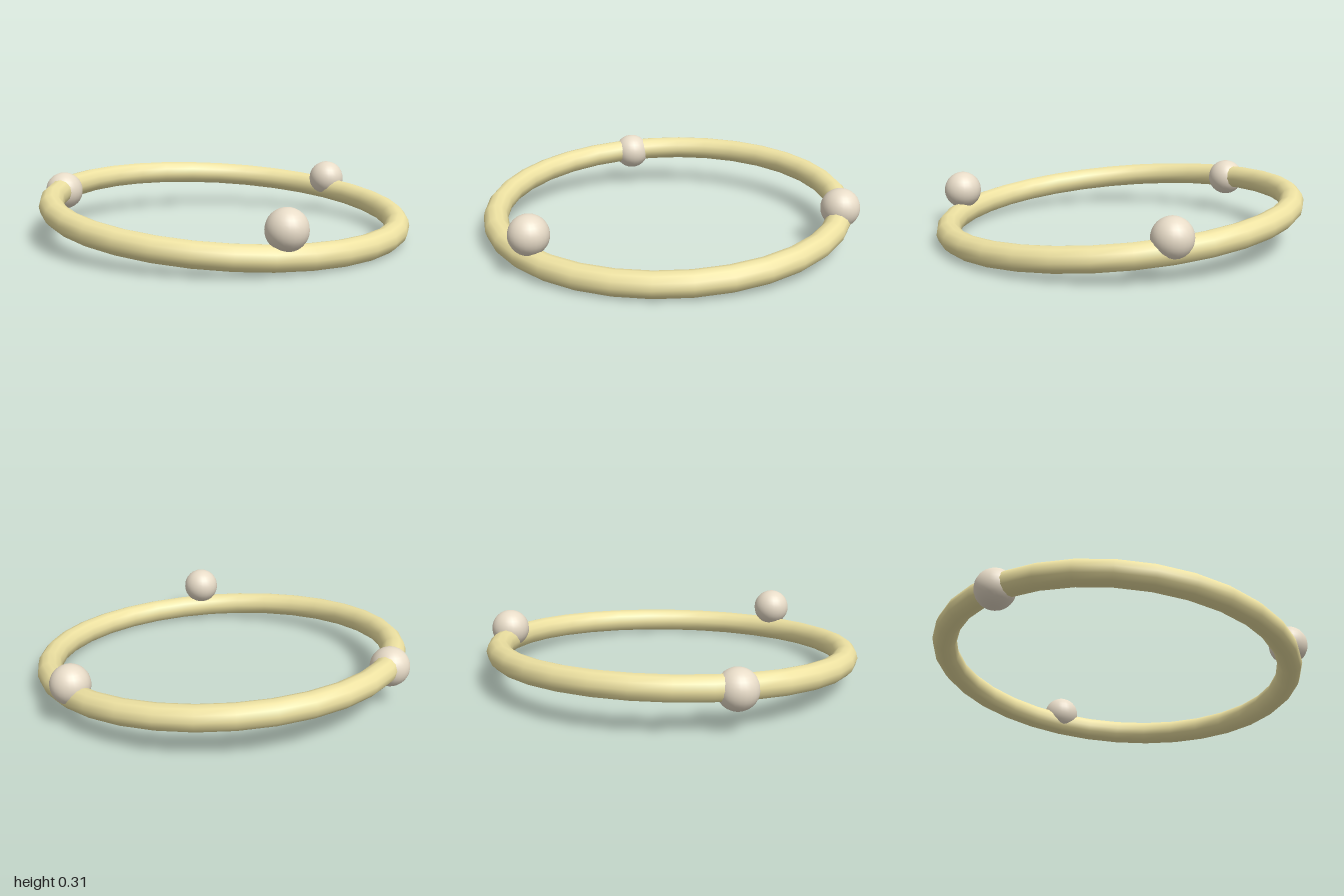
import * as THREE from 'three';

export function createModel() {
  const group = new THREE.Group();
  const R = 0.917, tube = 0.064, ballRadius = 0.101;
  const tilt = THREE.MathUtils.degToRad(5);
  const centreX = -0.018;

  // Thin ring, tipped down toward the front
  const ring = new THREE.Mesh(
    new THREE.TorusGeometry(R, tube, 12, 32),
    new THREE.MeshStandardMaterial({ color: 0xeee2a2 })
  );
  ring.name = 'ring';
  ring.rotation.x = Math.PI / 2 + tilt;
  ring.position.set(centreX, R * Math.sin(tilt) + tube, 0);
  group.add(ring);

  // Three level beads spaced evenly around the ring
  const beadGeometry = new THREE.SphereGeometry(ballRadius, 24, 16);
  const beadMaterial = new THREE.MeshStandardMaterial({ color: 0xe8dcc8 });
  ['leftBead', 'frontBead', 'backBead'].forEach((name, i) => {
    const a = (i * Math.PI * 2) / 3;
    const bead = new THREE.Mesh(beadGeometry, beadMaterial);
    bead.name = name;
    bead.position.set(centreX + R * Math.cos(a), 0.205, R * Math.sin(a));
    group.add(bead);
  });

  return group;
}
